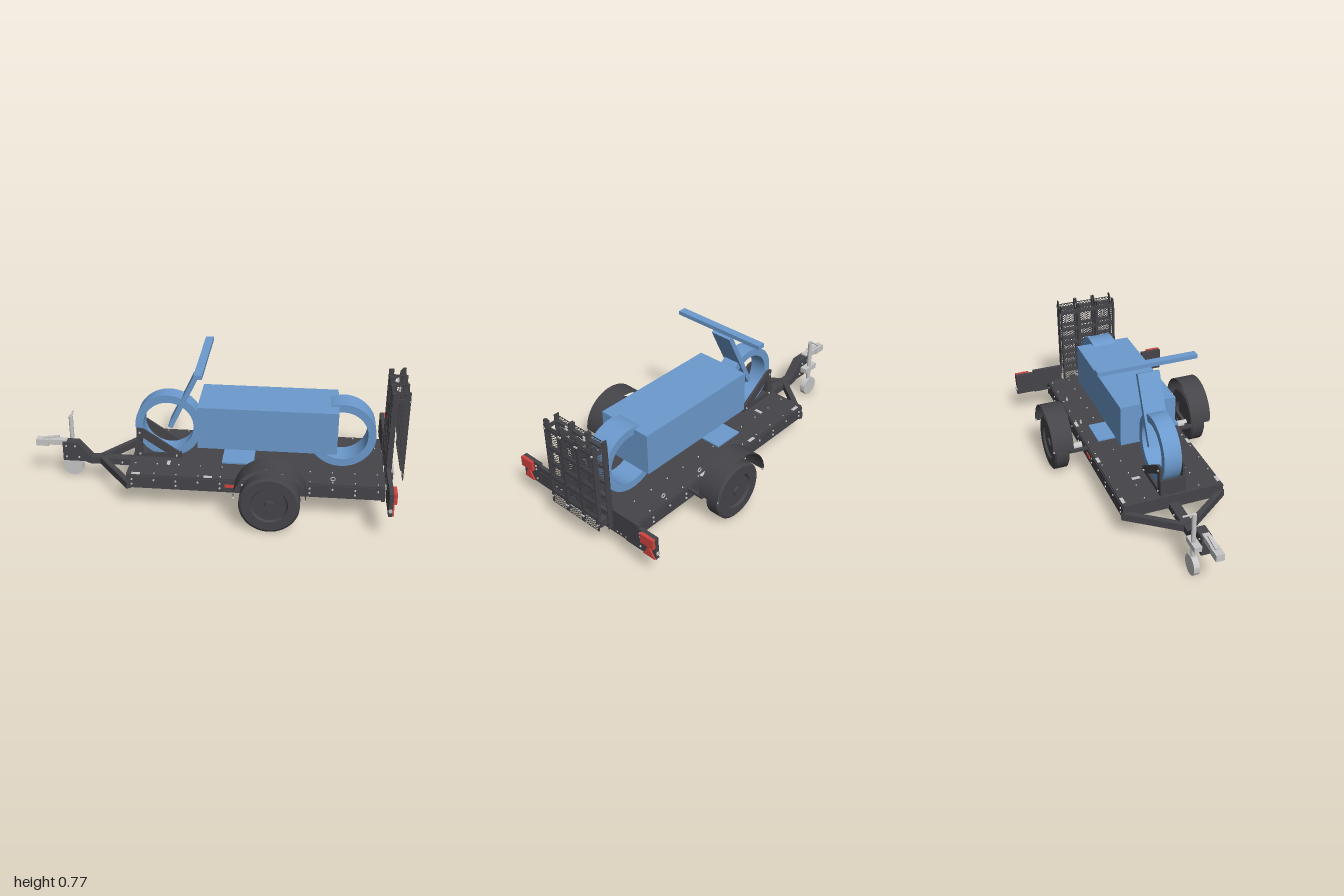
import * as THREE from 'three';
import { mergeGeometries, toCreasedNormals } from 'three/addons/utils/BufferGeometryUtils.js';

const mat = (name, color) => new THREE.MeshStandardMaterial({ name, color, side: THREE.DoubleSide });

export function createModel() {
  const root = new THREE.Group();
  root.name = 'motorcycleTrailer';
  const dark = mat('darkSteel', 0x45454a);
  const blue = mat('bikeBlue', 0x6c9ace);
  const grey = mat('zincGrey', 0xc6c6c6);
  const red = mat('lampRed', 0xd0443f);

  // Helpers
  const add = (name, geo, m, x = 0, y = 0, z = 0) => {
    const mesh = new THREE.Mesh(geo, m);
    mesh.name = name;
    mesh.position.set(x, y, z);
    root.add(mesh);
    return mesh;
  };
  // Box given by its limits on each axis
  const box = (name, m, x0, x1, y0, y1, z0, z1) =>
    add(name, new THREE.BoxGeometry(x1 - x0, y1 - y0, z1 - z0), m, (x0 + x1) / 2, (y0 + y1) / 2, (z0 + z1) / 2);
  // Side profile in x, y with thickness centred on z
  const polygon = pts => new THREE.Shape(pts.map(p => new THREE.Vector2(...p)));
  const slab = (shape, w, curveSegments = 12) =>
    new THREE.ExtrudeGeometry(shape, { depth: w, bevelEnabled: false, curveSegments }).translate(0, 0, -w / 2);
  const rod = (name, m, a, b, r, sides = 12) => {
    const p = new THREE.Vector3(...a), q = new THREE.Vector3(...b), d = q.clone().sub(p);
    const mesh = add(name, new THREE.CylinderGeometry(r, r, d.length(), sides), m);
    mesh.position.copy(p).add(q).multiplyScalar(0.5);
    mesh.quaternion.setFromUnitVectors(new THREE.Vector3(0, 1, 0), d.normalize());
  };
  const bolts = [];
  const bolt = (x, y, z, axis = 'z', r = 0.0055) => {
    const g = new THREE.CylinderGeometry(r, r, 0.01, 6);
    if (axis === 'z') g.rotateX(Math.PI / 2);
    if (axis === 'x') g.rotateZ(Math.PI / 2);
    bolts.push(g.translate(x, y, z));
  };

  // Deck, rails and underside ribs
  box('deckPlate', dark, -0.45, 0.89, 0.19, 0.198, -0.272, 0.272);
  for (const s of [-1, 1]) {
    box('sideRail', dark, -0.45, 0.89, 0.122, 0.19, s * 0.268 - 0.009, s * 0.268 + 0.009);
    box('sideRailLip', dark, -0.45, 0.89, 0.122, 0.128, s * 0.255 - 0.015, s * 0.255 + 0.015);
    box('sideReflector', red, 0.07, 0.12, 0.152, 0.168, s * 0.279 - 0.003, s * 0.279 + 0.003);
    for (let i = 0; i < 12; i++) {
      const x = -0.42 + i * 0.116;
      if (i % 2 === 0) bolt(x, 0.145, s * 0.277);
      bolt(x, 0.172, s * 0.277);
      bolt(x, 0.197, s * 0.255, 'y', 0.004);
      bolt(x, 0.197, s * 0.15, 'y', 0.004);
    }
    for (const x of [-0.4, -0.02, 0.36]) {
      box('lashingPlate', grey, x - 0.022, x + 0.022, 0.196, 0.201, s * 0.262 - 0.009, s * 0.262 + 0.009);
    }
    box('lashingPlate', grey, -0.254, -0.236, 0.196, 0.201, s * 0.13 - 0.022, s * 0.13 + 0.022);
    for (const x of [0.36, 0.625]) add('lashingRing', new THREE.TorusGeometry(0.011, 0.003, 6, 14), grey, x, 0.21, s * 0.235);
  }
  box('frontRail', dark, -0.45, -0.435, 0.122, 0.19, -0.275, 0.275);
  box('rearRail', dark, 0.875, 0.893, 0.115, 0.185, -0.278, 0.278);
  box('centreBeam', dark, -0.44, 0.88, 0.15, 0.19, -0.012, 0.012);
  for (let i = 0; i < 9; i++) {
    const x = -0.3 + i * 0.135;
    box('deckRib', dark, x - 0.007, x + 0.007, 0.145, 0.19, -0.26, 0.26);
    box('deckRibFlange', dark, x - 0.007, x + 0.02, 0.145, 0.15, -0.26, 0.26);
  }
  for (const s of [-1, 1]) for (const z of [0.19, 0.215, 0.25]) for (const y of [0.137, 0.165]) bolt(0.894, y, s * z, 'x');

  // Drawbar with V braces
  add('drawbar', slab(polygon([[-0.85, 0.125], [-0.85, 0.235], [-0.765, 0.235], [-0.69, 0.15], [-0.3, 0.15],
    [-0.3, 0.113], [-0.7, 0.113], [-0.73, 0.125]]), 0.054), dark);
  for (const s of [-1, 1]) {
    const brace = add('drawbarBrace', new THREE.BoxGeometry(0.33, 0.04, 0.03), dark, -0.535, 0.135, s * 0.145);
    brace.rotation.y = -s * Math.atan2(0.25, 0.19);
    for (const [x, y] of [[-0.83, 0.215], [-0.83, 0.15], [-0.78, 0.215], [-0.76, 0.15], [-0.62, 0.13], [-0.52, 0.13]])
      bolt(x, y, s * 0.028);
  }

  // Tow coupling
  box('couplingBody', grey, -0.94, -0.83, 0.212, 0.243, -0.018, 0.018);
  box('couplingHead', grey, -1, -0.93, 0.205, 0.243, -0.022, 0.022);
  box('couplingLever', grey, -0.96, -0.87, 0.248, 0.256, -0.009, 0.009).rotation.z = 0.15;

  // Jockey wheel
  add('jockeyWheel', toCreasedNormals(new THREE.CylinderGeometry(0.055, 0.055, 0.031, 36).rotateX(Math.PI / 2), 0.6), grey, -0.815, 0.055, -0.054);
  rod('jockeyPole', grey, [-0.815, 0.07, -0.054], [-0.815, 0.36, -0.054], 0.012, 16);
  rod('jockeyCrank', grey, [-0.815, 0.36, -0.05], [-0.815, 0.36, -0.115], 0.005);
  box('jockeyClamp', grey, -0.865, -0.765, 0.165, 0.195, -0.07, -0.03);

  // Axle, road wheels and fenders
  rod('axleTube', dark, [0.225, 0.135, -0.29], [0.225, 0.135, 0.29], 0.022, 16);
  const wheel = toCreasedNormals(new THREE.LatheGeometry([[0, -0.02], [0.085, -0.02], [0.092, -0.0425], [0.142, -0.0425],
    [0.155, -0.034], [0.155, 0.034], [0.142, 0.0425], [0.095, 0.0425], [0.088, 0.03], [0.024, 0.03], [0.022, 0.04], [0, 0.04]]
    .map(p => new THREE.Vector2(...p)), 48).rotateX(Math.PI / 2), 0.5);
  for (const s of [-1, 1]) {
    add('roadWheel', wheel, dark, 0.308, 0.156, s * 0.407).rotation.y = s > 0 ? 0 : Math.PI;
    rod('axleStub', grey, [0.225, 0.15, s * 0.27], [0.225, 0.15, s * 0.36], 0.02, 16);
    const arm = box('suspensionArm', dark, 0.2, 0.33, 0.13, 0.165, s * 0.35 - 0.008, s * 0.35 + 0.008);
    arm.rotation.z = 0.1;
    for (const r of [0.183, 0.18])
      add('fender', new THREE.CylinderGeometry(r, r, 0.116, 36, 1, true, Math.PI / 2, Math.PI).rotateX(Math.PI / 2), dark, 0.308, 0.195, s * 0.408);
    for (const x of [0.13, 0.485]) {
      box('fenderStay', dark, x - 0.008, x + 0.008, 0.178, 0.194, Math.min(s * 0.27, s * 0.37), Math.max(s * 0.27, s * 0.37));
      bolt(x, 0.2, s * 0.462, 'x');
    }
  }

  // Front wheel chock
  const chockShape = polygon([[-0.425, 0.198], [-0.425, 0.362], [-0.39, 0.362], [-0.19, 0.228], [-0.19, 0.198]]);
  chockShape.holes.push(polygon([[-0.395, 0.222], [-0.26, 0.222], [-0.395, 0.312]]));
  for (const s of [-1, 1]) {
    add('chockSide', slab(chockShape, 0.014), dark, 0, 0, s * 0.063);
    for (const [x, y] of [[-0.408, 0.34], [-0.408, 0.215], [-0.21, 0.213]]) bolt(x, y, s * 0.071);
  }
  box('chockFront', dark, -0.437, -0.425, 0.198, 0.29, -0.07, 0.07);
  box('chockCradle', dark, -0.2, -0.185, 0.198, 0.228, -0.07, 0.07);

  // Motorcycle dummy
  const ring = new THREE.Shape().absarc(0, 0, 0.178, 0, Math.PI * 2);
  ring.holes.push(new THREE.Path().absarc(0, 0, 0.136, 0, Math.PI * 2, true));
  const ringGeo = w => toCreasedNormals(slab(ring, w, 28), 0.5);
  add('bikeFrontWheel', ringGeo(0.094), blue, -0.256, 0.376, 0);
  add('bikeRearWheel', ringGeo(0.136), blue, 0.665, 0.376, 0);
  box('bikeBody', blue, -0.087, 0.64, 0.31, 0.541, -0.154, 0.154);
  box('bikeFootboard', blue, 0.05, 0.215, 0.268, 0.276, -0.235, 0.235);
  add('bikeFork', new THREE.BoxGeometry(0.026, 0.382, 0.12), blue, -0.162, 0.548, 0).rotation.z = -0.446;
  box('bikeHandlebar', blue, -0.088, -0.046, 0.75, 0.772, -0.272, 0.272);

  // Folded loading ramp: expanded-metal panels between rails
  const cellW = 0.018, cellH = 0.0065, panelH = 0.47;
  const panel = polygon([[-0.056, 0], [0.056, 0], [0.056, panelH], [-0.056, panelH]]);
  for (let row = 1; row < 72; row++) {
    const odd = row % 2;
    for (let c = 0; c < 6 - odd; c++) {
      const x = (c - 2.5 + odd / 2) * cellW, y = row * cellH;
      panel.holes.push(polygon([[x - 0.0068, y], [x, y - 0.0046], [x + 0.0068, y], [x, y + 0.0046]]));
    }
  }
  const meshGeo = new THREE.ShapeGeometry(panel).rotateY(Math.PI / 2);
  const outerRail = slab(polygon([[0.957, 0.66], [0.972, 0.68], [0.988, 0.68], [0.988, 0.183], [0.983, 0.183], [0.957, 0.36]]), 0.006);
  for (const z of [-0.111, 0, 0.111]) {
    add('rampMeshOuter', meshGeo, dark, 0.988, 0.184, z);
    add('rampMeshInner', meshGeo, dark, 0.898, 0.184, z);
    for (const s of [-1, 1]) {
      const rz = z + s * 0.05;
      add('rampOuterRail', outerRail, dark, 0, 0, rz);
      box('rampInnerRail', dark, 0.898, 0.925, 0.15, 0.672, rz - 0.003, rz + 0.003);
      box('rampHinge', dark, 0.92, 0.965, 0.618, 0.64, rz - 0.003, rz + 0.003);
      bolt(0.988, 0.63, rz, 'x');
      bolt(0.988, 0.22, rz, 'x');
    }
    for (const y of [0.24, 0.33, 0.42, 0.51, 0.62]) {
      box('rampOuterRung', dark, 0.968, 0.986, y, y + 0.016, z - 0.05, z + 0.05);
      box('rampInnerRung', dark, 0.9, 0.92, y, y + 0.016, z - 0.05, z + 0.05);
    }
  }
  for (const s of [-1, 1]) {
    box('rampClevis', dark, 0.89, 0.94, 0.146, 0.186, s * 0.105 - 0.018, s * 0.105 + 0.018);
    bolt(0.94, 0.165, s * 0.112, 'x');
    for (const y of [0.66, 0.645]) bolt(0.94, y, s * 0.06);
  }
  rod('rampPivot', grey, [0.945, 0.176, -0.088], [0.945, 0.176, 0.088], 0.006);

  // Lamp carriers, tail lamps and number plate holder
  box('lampArmLeft', dark, 0.896, 0.915, 0.225, 0.255, 0.17, 0.37);
  box('lampArmRight', dark, 0.896, 0.915, 0.165, 0.284, -0.36, -0.185);
  const triangle = new THREE.ExtrudeGeometry(polygon([[-0.037, 0], [0.037, 0], [0, 0.062]]), { depth: 0.008, bevelEnabled: false }).rotateY(Math.PI / 2);
  for (const s of [-1, 1]) {
    const lim = (a, b) => [Math.min(s * a, s * b), Math.max(s * a, s * b)];
    box('lampCarrier', dark, 0.896, 0.917, 0.145, 0.27, ...lim(0.345, 0.468));
    box('lampCarrierWing', dark, 0.896, 0.914, 0.14, 0.22, ...lim(0.27, 0.36));
    box('tailLamp', red, 0.917, 0.934, 0.215, 0.271, ...lim(0.385, 0.467));
    add('rearReflector', triangle, red, 0.917, 0.148, s * 0.428);
    for (const y of [0.25, 0.23, 0.17]) bolt(0.917, y, s * 0.37, 'x');
    rod('sideMarker', grey, [0.905, 0.178, s * 0.463], [0.905, 0.178, s * 0.474], 0.01);
  }

  add('bolts', mergeGeometries(bolts), grey);
  return root;
}
